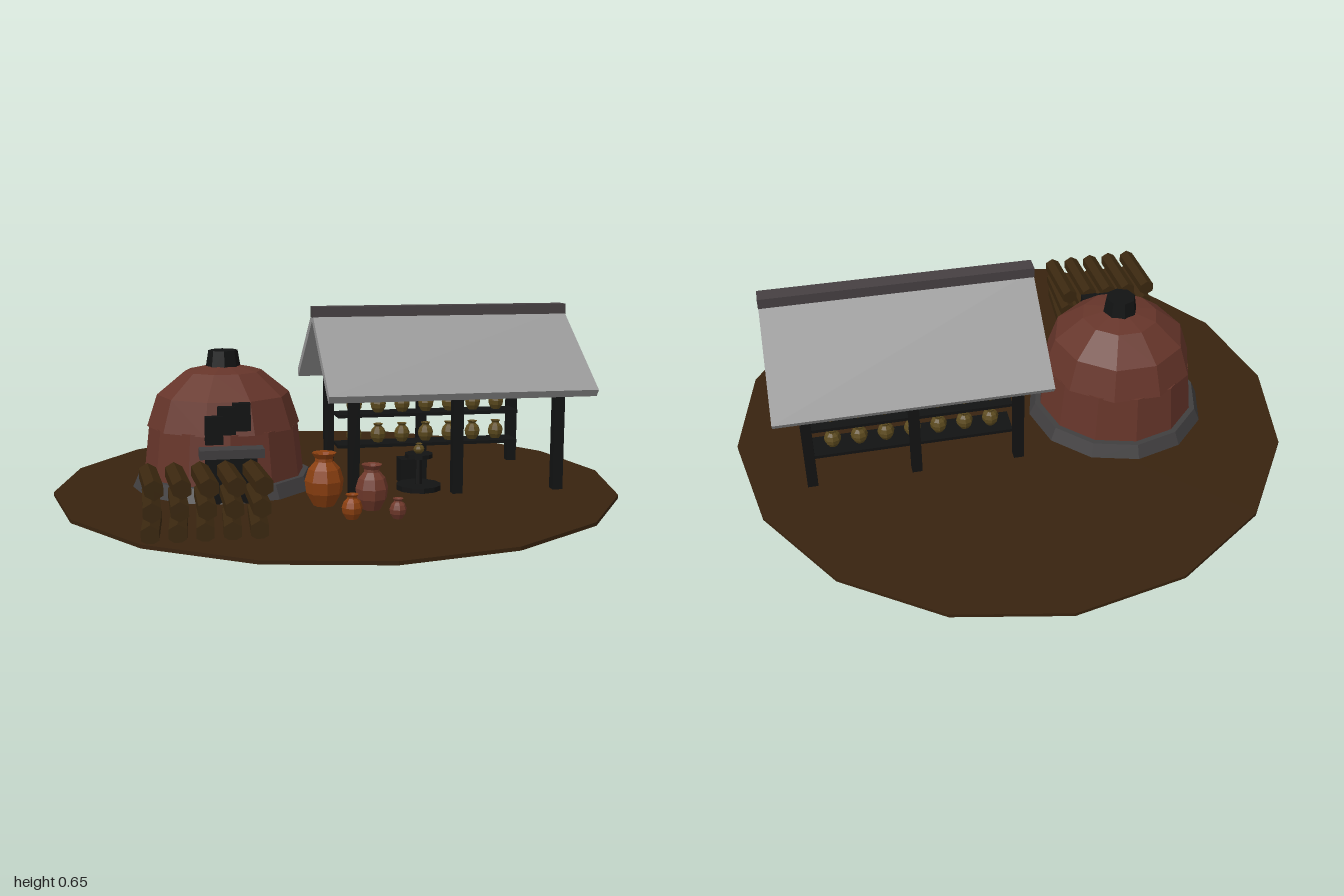
import * as THREE from 'three';

const mat = (name, color) => {
  const m = new THREE.MeshStandardMaterial({ color });
  m.name = name;
  return m;
};

export function createModel() {
  const earth = mat('earth', 0x38230f);
  const brick = mat('brick', 0x66352a);
  const stone = mat('stone', 0x403e3f);
  const soot = mat('soot black', 0x121313);
  const slate = mat('roof slate', 0x989898);
  const ridge = mat('ridge tile', 0x464042);
  const wood = mat('log wood', 0x3a270f);
  const terracotta = mat('orange clay', 0x8a3f10);
  const redClay = mat('red clay', 0x70392b);
  const ochre = mat('ochre glaze', 0x5c4a1e);

  const model = new THREE.Group();
  model.name = 'potteryYard';

  // Faceted mesh helper
  const add = (parent, name, geometry, material, x = 0, y = 0, z = 0) => {
    const flat = geometry.index ? geometry.toNonIndexed() : geometry;
    flat.computeVertexNormals();
    const mesh = new THREE.Mesh(flat, material);
    mesh.name = name;
    mesh.position.set(x, y, z);
    parent.add(mesh);
    return mesh;
  };
  const group = (name, x = 0, y = 0, z = 0) => {
    const g = new THREE.Group();
    g.name = name;
    g.position.set(x, y, z);
    model.add(g);
    return g;
  };
  const box = (w, h, d) => new THREE.BoxGeometry(w, h, d);
  const cyl = (top, bottom, h, sides) => new THREE.CylinderGeometry(top, bottom, h, sides);

  // Pot: belly, narrow neck, flared lip and hollow mouth
  const potGeometry = (r, h) => new THREE.LatheGeometry([
    [0, 0], [0.55, 0], [0.92, 0.25], [1, 0.48], [0.82, 0.7],
    [0.48, 0.84], [0.46, 0.9], [0.64, 1], [0.45, 0.98], [0, 0.85],
  ].map(([px, py]) => new THREE.Vector2(px * r, py * h)), 8);

  // Ground
  add(model, 'ground', cyl(1, 1, 0.012, 16), earth, 0, 0.006, 0);

  // Kiln
  const kiln = group('kiln', -0.4, 0, -0.04);
  add(kiln, 'kilnFooting', cyl(0.305, 0.33, 0.055, 12), stone, 0, 0.0325, 0);
  add(kiln, 'kilnWall', cyl(0.265, 0.29, 0.22, 12), brick, 0, 0.125, 0);
  const dome = new THREE.SphereGeometry(0.272, 10, 3, 0, Math.PI * 2, 0, Math.PI / 2);
  dome.scale(1, 0.82, 1);
  add(kiln, 'kilnDome', dome, brick, 0, 0.23, 0);
  add(kiln, 'chimney', cyl(0.052, 0.064, 0.075, 8), soot, 0, 0.458, 0);
  add(kiln, 'fireDoor', box(0.17, 0.16, 0.08), soot, 0, 0.09, 0.275);
  add(kiln, 'doorLintel', box(0.215, 0.03, 0.07), stone, 0, 0.185, 0.303);
  [[-0.055, 0.255, 0.265], [-0.012, 0.285, 0.255], [0.04, 0.295, 0.245]].forEach(([x, y, z]) =>
    add(kiln, 'sootPatch', box(0.06, 0.095, 0.03), soot, x, y, z));

  // Shelter frame
  const shelter = group('shelter', 0.382);
  for (const z of [-0.25, 0.25]) {
    for (const x of [-0.365, 0, 0.365]) {
      add(shelter, 'post', box(0.036, 0.4, 0.036), soot, x, 0.205, z);
    }
    add(shelter, 'beam', box(0.766, 0.03, 0.03), soot, 0, 0.39, z);
  }

  // Pitched roof with ridge cap
  const pitch = Math.atan2(0.245, 0.345);
  for (const side of [-1, 1]) {
    const slope = add(shelter, 'roofSlope', box(0.936, 0.03, 0.43), slate, 0, 0.49, side * 0.174);
    slope.rotation.x = side * pitch;
  }
  add(shelter, 'ridgeCap', box(0.938, 0.038, 0.056), ridge, 0, 0.629, 0);

  // Shelves of small pots
  for (const y of [0.11, 0.225]) {
    add(shelter, 'shelf', box(0.7, 0.012, 0.1), soot, 0, y, -0.18);
    for (let i = -3; i <= 3; i++) {
      add(shelter, 'shelfPot', potGeometry(0.03, 0.07), ochre, i * 0.093, y + 0.006, -0.18);
    }
  }

  // Potter's wheel and stool
  const wheel = group('pottersWheel', 0.267, 0, 0.17);
  add(wheel, 'flywheel', cyl(0.08, 0.08, 0.018, 12), soot, 0, 0.021, 0);
  add(wheel, 'wheelShaft', cyl(0.012, 0.012, 0.11, 6), soot, 0, 0.08, 0);
  add(wheel, 'wheelHead', cyl(0.05, 0.05, 0.014, 12), soot, 0, 0.133, 0);
  add(wheel, 'clayPot', potGeometry(0.02, 0.035), ochre, 0, 0.14, 0);
  add(model, 'stool', box(0.095, 0.09, 0.07), soot, 0.27, 0.055, 0.055);

  // Large pots in the yard
  [
    [-0.1, 0.34, 0.066, 0.178, terracotta],
    [0.045, 0.42, 0.055, 0.15, redClay],
    [-0.042, 0.53, 0.034, 0.08, terracotta],
    [0.103, 0.55, 0.028, 0.065, redClay],
  ].forEach(([x, z, r, h, m]) => add(model, 'yardPot', potGeometry(r, h), m, x, 0.012, z));

  // Stacked firewood
  const stack = group('firewood', -0.51, 0, 0.583);
  for (let row = 0; row < 3; row++) {
    for (let col = -2; col <= 2; col++) {
      const log = cyl(0.031, 0.031, 0.25, 6);
      log.rotateX(Math.PI / 2);
      const mesh = add(stack, 'log', log, wood, col * 0.081, 0.037 + row * 0.067, 0);
      mesh.rotation.y = (row - 1) * 0.06;
    }
  }
  return model;
}
